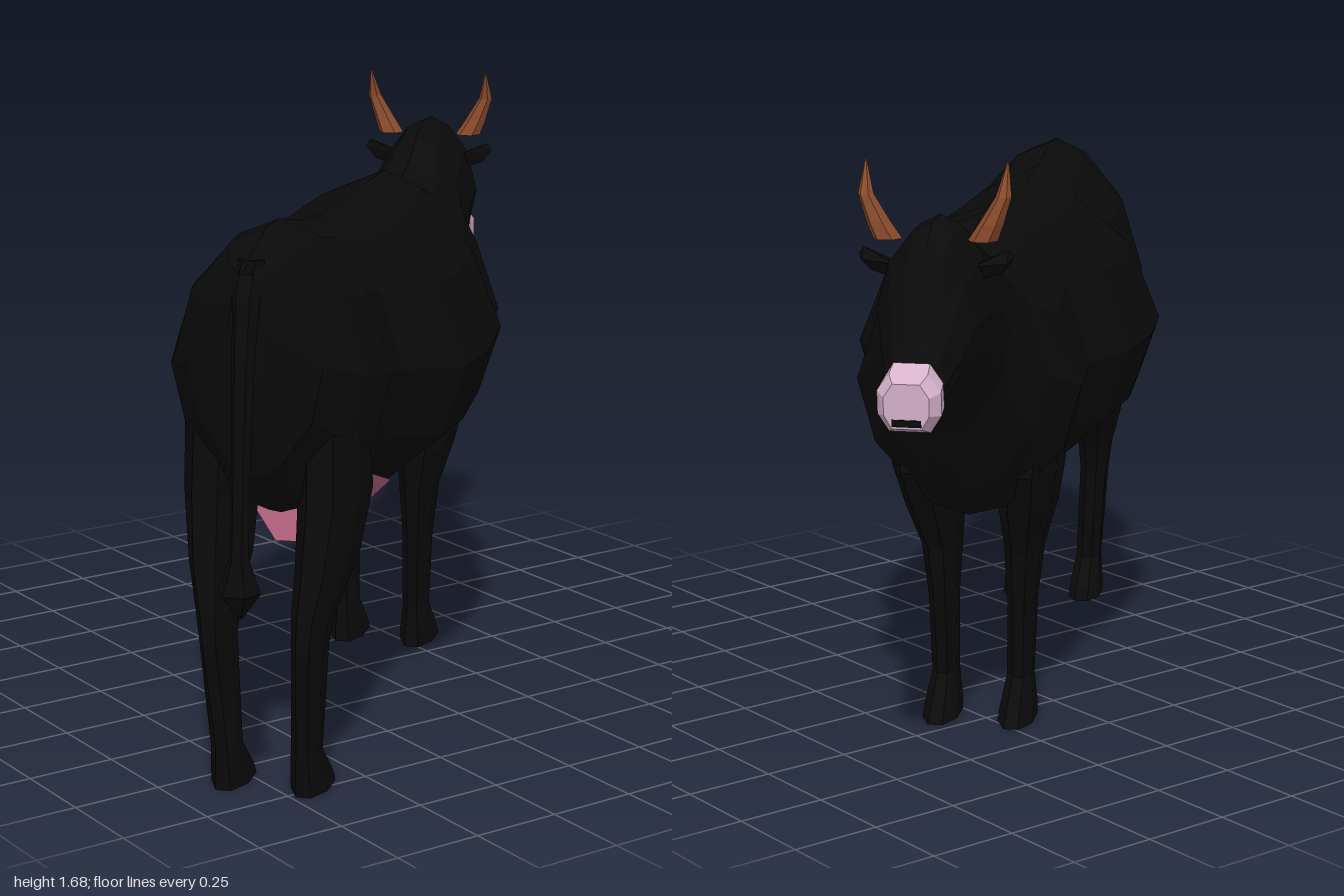
import * as THREE from 'three';
import { ConvexGeometry } from 'three/addons/geometries/ConvexGeometry.js';

const paint = (color) => new THREE.MeshStandardMaterial({ color, flatShading: true });
const hide = paint(0x0a0a0a);
const hornBrown = paint(0x8a4b2c);
const muzzlePink = paint(0xd6b3cb);
const udderPink = paint(0xb5637f);

// Skin a list of closed rings; each runs counterclockwise about the direction of travel.
function loft(rings) {
  const n = rings[0].length;
  const pos = [];
  const tri = (a, b, c) => pos.push(...a, ...b, ...c);
  for (let i = 0; i < rings.length - 1; i++) {
    for (let j = 0; j < n; j++) {
      const k = (j + 1) % n;
      const a = rings[i][j], b = rings[i][k], c = rings[i + 1][k], d = rings[i + 1][j];
      tri(a, b, c);
      tri(a, c, d);
    }
  }
  const first = rings[0], last = rings[rings.length - 1];
  for (let j = 1; j < n - 1; j++) {
    tri(first[0], first[j + 1], first[j]);
    tri(last[0], last[j], last[j + 1]);
  }
  const g = new THREE.BufferGeometry();
  g.setAttribute('position', new THREE.Float32BufferAttribute(pos, 3));
  g.computeVertexNormals();
  return g;
}

// Half outline of a cross-section: [share of half width, share of height].
const bodyOutline = [[0, 1], [0.36, 0.945], [0.78, 0.77], [1, 0.5], [0.84, 0.26], [0.34, 0.04], [0, 0]];
const muzzleOutline = [[0, 1], [0.6, 1], [1, 0.7], [1, 0.3], [0.65, 0], [0, 0]];

// Section across the length: [x, top, bottom, half width, forward lean of the top].
function crossRing(outline, [x, top, bottom, w, lean = 0]) {
  const side = outline.map(([u, v]) => [x + lean * v, bottom + (top - bottom) * v, u * w]);
  const other = side.slice(1, -1).reverse().map(([a, y, z]) => [a, y, -z]);
  return [...side, ...other];
}

// Level section: centre x, y, z with half sizes along x and z.
function levelRing(x, y, z, rx, rz, sides) {
  return Array.from({ length: sides }, (_, i) => {
    const a = ((i + 0.5) / sides) * Math.PI * 2;
    const k = 1 / Math.cos(Math.PI / sides);
    return [x + Math.cos(a) * rx * k, y, z - Math.sin(a) * rz * k];
  });
}

export function createModel() {
  const cow = new THREE.Group();
  cow.name = 'cow';
  const add = (name, geometry, material) => {
    const mesh = new THREE.Mesh(geometry, material);
    mesh.name = name;
    cow.add(mesh);
    return mesh;
  };

  // Rump, barrel, neck and head as one skin.
  const body = [
    [-1.17, 1.435, 1.12, 0.05], [-1.105, 1.47, 0.88, 0.18], [-0.98, 1.51, 0.76, 0.26],
    [-0.86, 1.51, 0.72, 0.3], [-0.65, 1.47, 0.68, 0.28], [-0.43, 1.45, 0.635, 0.41],
    [-0.2, 1.445, 0.625, 0.42], [0.1, 1.455, 0.635, 0.4], [0.3, 1.46, 0.62, 0.31],
    [0.49, 1.395, 0.64, 0.315], [0.6, 1.42, 0.73, 0.245], [0.66, 1.45, 0.81, 0.205],
    [0.74, 1.5, 0.935, 0.165], [0.85, 1.54, 1.03, 0.155], [0.95, 1.535, 1.07, 0.15],
    [1.03, 1.48, 1.075, 0.125], [1.11, 1.34, 1.065, 0.098], [1.21, 1.22, 1.06, 0.073],
  ];
  add('body', loft(body.map((s) => crossRing(bodyOutline, s))), hide);

  // Muzzle with a dark mouth slot.
  const muzzle = [[1.18, 1.22, 1.055, 0.078, 0.035], [1.24, 1.2, 1.05, 0.082, 0.015], [1.28, 1.18, 1.065, 0.058, 0.005]];
  add('muzzle', loft(muzzle.map((s) => crossRing(muzzleOutline, s))), muzzlePink);
  add('mouth', new THREE.BoxGeometry(0.02, 0.018, 0.075), hide).position.set(1.274, 1.08, 0);

  // Legs from the sole up: [height, back, front, distance from middle, half thickness].
  const legs = {
    hindLeg: [
      [0, -1.06, -0.85, 0.11, 0.05], [0.04, -1.065, -0.88, 0.11, 0.048], [0.12, -1.07, -0.97, 0.11, 0.038],
      [0.42, -1.12, -0.95, 0.125, 0.042], [0.5, -1.115, -0.92, 0.13, 0.05], [0.62, -1.09, -0.78, 0.145, 0.07],
      [0.8, -1.045, -0.72, 0.155, 0.085], [1.08, -1.03, -0.78, 0.15, 0.08],
    ],
    frontLeg: [
      [0, 0.215, 0.44, 0.11, 0.05], [0.04, 0.215, 0.405, 0.11, 0.048], [0.12, 0.22, 0.33, 0.11, 0.036],
      [0.35, 0.2, 0.345, 0.115, 0.04], [0.5, 0.17, 0.37, 0.12, 0.052], [0.63, 0.125, 0.455, 0.135, 0.075],
      [0.76, 0.14, 0.53, 0.15, 0.085], [1.0, 0.2, 0.49, 0.16, 0.08],
    ],
  };
  for (const [name, sections] of Object.entries(legs)) {
    for (const side of [1, -1]) {
      const rings = sections.map(([y, b, f, t, r]) => levelRing((b + f) / 2, y, t * side, (f - b) / 2, r, 8));
      add((side > 0 ? 'left ' : 'right ') + name, loft(rings), hide);
    }
  }

  // Horns and ears.
  for (const side of [1, -1]) {
    const label = side > 0 ? 'left ' : 'right ';
    const horn = [[0.925, 1.485, 0.125, 0.034], [0.93, 1.53, 0.148, 0.028], [0.93, 1.6, 0.18, 0.018], [0.9, 1.685, 0.186, 0.002]];
    add(label + 'horn', loft(horn.map(([x, y, z, r]) => levelRing(x, y, z * side, r, r, 6))), hornBrown);
    const ear = [
      [0.9, 1.42, 0.1], [0.95, 1.42, 0.1], [0.92, 1.38, 0.11],
      [0.915, 1.46, 0.19], [0.945, 1.43, 0.19], [0.915, 1.4, 0.175], [0.91, 1.44, 0.205],
    ];
    add(label + 'ear', new ConvexGeometry(ear.map(([x, y, z]) => new THREE.Vector3(x, y, z * side))), hide);
  }

  // Udder.
  const udder = [[-0.66, 0.785, 0.205], [-0.4, 0.7, 0.19], [-0.44, 0.61, 0.05], [-0.62, 0.57, 0.05], [-0.71, 0.595, 0.06]];
  const udderPoints = udder.flatMap(([x, y, z]) => [new THREE.Vector3(x, y, z), new THREE.Vector3(x, y, -z)]);
  add('udder', new ConvexGeometry(udderPoints), udderPink);

  // Tail with a pointed tuft.
  const tail = [
    [-1.255, 0.55, 0.006], [-1.26, 0.62, 0.05], [-1.258, 0.71, 0.022], [-1.235, 0.95, 0.022],
    [-1.205, 1.2, 0.026], [-1.17, 1.37, 0.032], [-1.12, 1.45, 0.03],
  ];
  add('tail', loft(tail.map(([x, y, r]) => levelRing(x, y, 0, r, r, 6))), hide);

  // The animal stands diagonally.
  cow.rotation.y = THREE.MathUtils.degToRad(41.3);
  const model = new THREE.Group();
  model.add(cow);
  return model;
}
